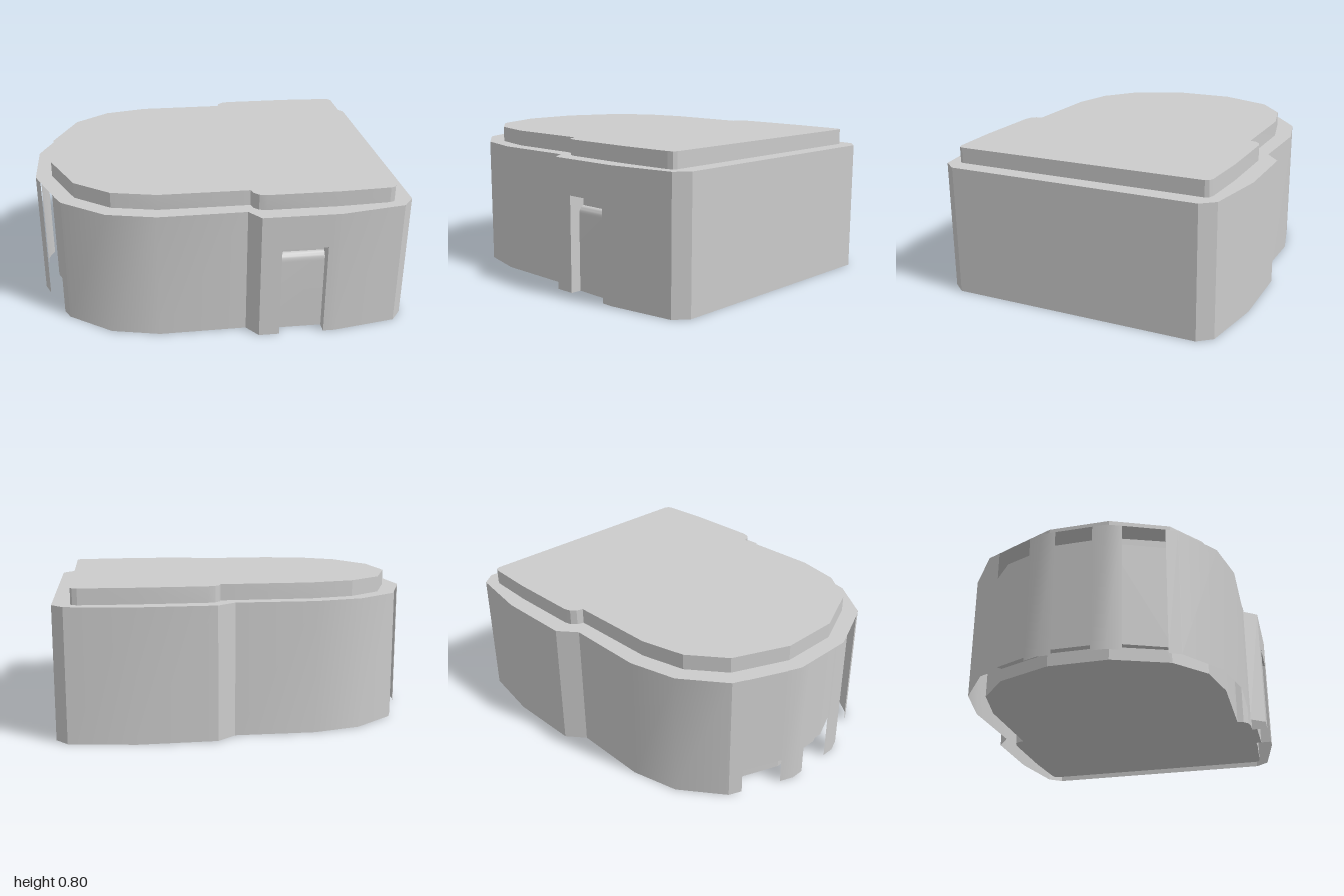
import * as THREE from 'three';
import { toCreasedNormals } from 'three/addons/utils/BufferGeometryUtils.js';

const solid = new THREE.MeshStandardMaterial({ color: 0xcccccc });
const thin = new THREE.MeshStandardMaterial({ color: 0xcccccc, side: THREE.DoubleSide });

// Plan outlines as [x, z] points.
const FRONT_WALL = [[-0.88, 0.46], [-0.85, 0.52], [-0.62, 0.69], [-0.36, 0.75], [0.11, 0.745], [0.17, 0.825], [0.28, 0.825]];
const BACK_WALL = [[0.525, 0.825], [0.59, 0.825], [0.94, 0.765], [1, 0.69], [1, -0.695], [0.94, -0.77], [0.59, -0.83],
  [0.17, -0.83], [0.07, -0.75], [-0.36, -0.76], [-0.62, -0.7], [-0.85, -0.53], [-0.88, -0.46]];
const TIP = [[-0.97, -0.25], [-1, -0.175], [-1, 0.175], [-0.97, 0.25]];

// Half of the inset outline, running from the curved end to the flat end.
const HALF = [[-0.59, 0.61], [-0.35, 0.665], [0.135, 0.665], [0.145, 0.7], [0.17, 0.725], [0.21, 0.735],
  [0.6, 0.735], [0.87, 0.72], [0.895, 0.71], [0.905, 0.69]];
const mirrored = (pts) => [...pts, ...pts.map(([x, z]) => [x, -z]).reverse()];

const toShape = (pts) => new THREE.Shape(pts.map(([x, z]) => new THREE.Vector2(x, -z)));

function add(group, name, geometry, material) {
  const mesh = new THREE.Mesh(geometry, material);
  mesh.name = name;
  group.add(mesh);
  return mesh;
}

// Solid block standing on a plan outline.
function block(pts, y0, y1) {
  const g = new THREE.ExtrudeGeometry(toShape(pts), { depth: y1 - y0, bevelEnabled: false });
  return toCreasedNormals(g.rotateX(-Math.PI / 2).translate(0, y0, 0), 0.3);
}

// Thin upright sheet following a plan path.
function sheet(pts, y0, y1) {
  const pos = [];
  for (let i = 0; i < pts.length - 1; i++) {
    const [ax, az] = pts[i], [bx, bz] = pts[i + 1];
    pos.push(ax, y0, az, bx, y0, bz, bx, y1, bz, ax, y0, az, bx, y1, bz, ax, y1, az);
  }
  const g = new THREE.BufferGeometry();
  g.setAttribute('position', new THREE.Float32BufferAttribute(pos, 3));
  return toCreasedNormals(g, 0.45);
}

export function createModel() {
  const group = new THREE.Group();
  group.name = 'building';

  // Thin outer shell with a doorway and a slotted curved end
  add(group, 'frontWall', sheet(FRONT_WALL, 0, 0.71), thin);
  add(group, 'backWall', sheet(BACK_WALL, 0, 0.71), thin);
  add(group, 'doorLintel', sheet([[0.28, 0.825], [0.525, 0.825]], 0.52, 0.71), thin);
  for (const s of [1, -1]) {
    const pier = [[-0.97, 0.25 * s], [-1, 0.175 * s], [-1, 0.1 * s]];
    add(group, 'endPier', sheet(s > 0 ? pier.reverse() : pier, 0, 0.71), thin);
  }

  // Roof ledge and raised roof slab
  const ledge = new THREE.ShapeGeometry(toShape([...FRONT_WALL, ...BACK_WALL, ...TIP]));
  add(group, 'roofLedge', ledge.rotateX(-Math.PI / 2).translate(0, 0.71, 0), thin);
  add(group, 'roofSlab', block(mirrored([[-0.91, 0.165], [-0.78, 0.465], ...HALF]), 0.71, 0.795), solid);

  // Inner core and the window band around its curved end
  add(group, 'innerCore', block(mirrored([[-0.88, 0.16], [-0.765, 0.455], ...HALF]), 0, 0.709), solid);
  add(group, 'windowBand', block(mirrored([[-0.92, 0.165], [-0.79, 0.47], [-0.7, 0.4]]), 0.07, 0.65), solid);

  // Doorway: jambs, head and a door panel with a rounded top
  for (const x of [0.28, 0.525]) add(group, 'doorJamb', sheet([[x, 0.825], [x, 0.73]], 0, 0.52), thin);
  const head = new THREE.PlaneGeometry(0.245, 0.095).rotateX(Math.PI / 2);
  add(group, 'doorHead', head.translate(0.4025, 0.52, 0.7775), thin);
  const profile = new THREE.Shape();
  profile.moveTo(0.72, 0);
  profile.lineTo(0.765, 0);
  profile.lineTo(0.765, 0.41);
  profile.quadraticCurveTo(0.765, 0.46, 0.72, 0.46);
  const panel = new THREE.ExtrudeGeometry(profile, { depth: 0.245, bevelEnabled: false, curveSegments: 8 });
  panel.rotateY(-Math.PI / 2).translate(0.525, 0, 0);
  add(group, 'doorPanel', toCreasedNormals(panel, 0.5), solid);

  return group;
}
